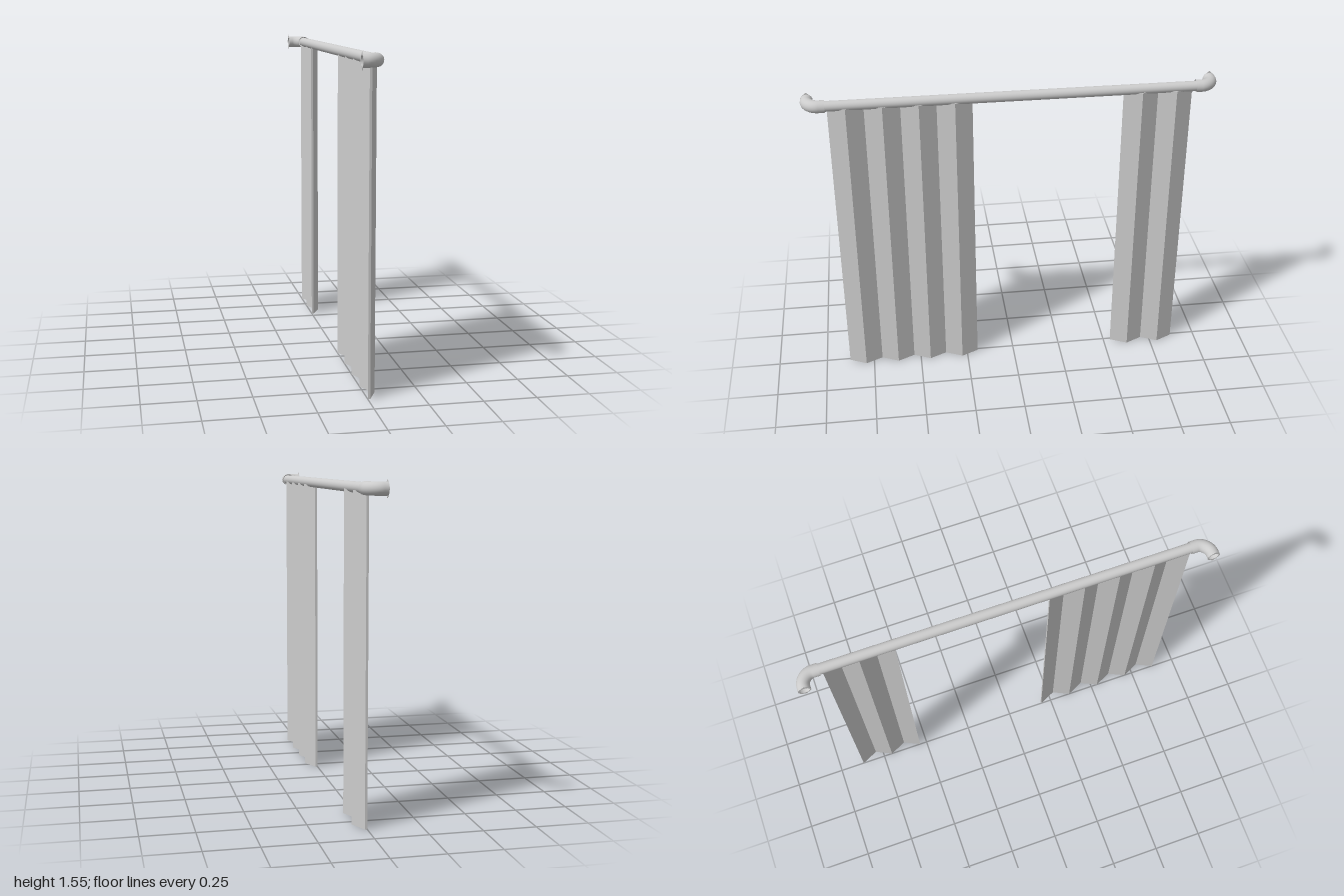
import * as THREE from 'three';

const material = new THREE.MeshStandardMaterial({ color: 0xcccccc, side: THREE.DoubleSide });
const ROD_X = 0.021, ROD_Y = 1.51, WALL_X = -0.055;

function addMesh(parent, name, geometry) {
  const mesh = new THREE.Mesh(geometry, material);
  mesh.name = name;
  parent.add(mesh);
  return mesh;
}

// Zigzag pleated sheet, starting at zStart and running towards -z
function pleatedCurtain(zStart, zEnd, folds) {
  const front = [], back = [];
  for (let i = 0; i <= folds; i++) {
    const z = THREE.MathUtils.lerp(zStart, zEnd, i / folds);
    const x = i % 2 ? 0.04 : 0;
    front.push(new THREE.Vector2(x + 0.011, -z));
    back.unshift(new THREE.Vector2(x, -z));
  }
  const shape = new THREE.Shape([...front, ...back]);
  const geometry = new THREE.ExtrudeGeometry(shape, { depth: 1.5, bevelEnabled: false });
  return geometry.rotateX(-Math.PI / 2);
}

// Open pipe bend from the rod to the wall; side is +1 or -1 along z
function elbow(side) {
  const point = (x, z) => new THREE.Vector3(x, ROD_Y, z * side);
  const bend = 0.055, endZ = 0.97, k = bend * 0.4477;
  const path = new THREE.CurvePath();
  path.add(new THREE.LineCurve3(point(ROD_X, 0.885), point(ROD_X, endZ - bend)));
  path.add(new THREE.CubicBezierCurve3(
    point(ROD_X, endZ - bend), point(ROD_X, endZ - k),
    point(ROD_X - bend + k, endZ), point(ROD_X - bend, endZ)));
  path.add(new THREE.LineCurve3(point(ROD_X - bend, endZ), point(WALL_X, endZ)));
  return new THREE.TubeGeometry(path, 28, 0.03, 24);
}

// Thin wall ring with a pointed tab above and below
function wallPlate() {
  const shape = new THREE.Shape();
  shape.moveTo(0, 0.04);
  shape.lineTo(-0.022, 0.021);
  shape.absarc(0, 0, 0.03, Math.PI * 0.76, Math.PI * 1.24, false);
  shape.lineTo(0, -0.04);
  shape.lineTo(0.022, -0.021);
  shape.absarc(0, 0, 0.03, -Math.PI * 0.24, Math.PI * 0.24, false);
  shape.closePath();
  const hole = new THREE.Path();
  hole.absarc(0, 0, 0.024, 0, Math.PI * 2, true);
  shape.holes.push(hole);
  const geometry = new THREE.ExtrudeGeometry(shape, { depth: 0.002, bevelEnabled: false, curveSegments: 12 });
  return geometry.rotateY(Math.PI / 2);
}

export function createModel() {
  const group = new THREE.Group();
  group.name = 'curtainRail';

  // Straight rail
  const rod = addMesh(group, 'rod', new THREE.CylinderGeometry(0.025, 0.025, 1.8, 32).rotateX(Math.PI / 2));
  rod.position.set(ROD_X, ROD_Y, 0);

  // Wall brackets at both ends
  for (const side of [1, -1]) {
    const bracket = new THREE.Group();
    bracket.name = side > 0 ? 'frontBracket' : 'backBracket';
    addMesh(bracket, 'elbow', elbow(side));
    addMesh(bracket, 'wallPlate', wallPlate()).position.set(WALL_X, ROD_Y, side * 0.97);
    group.add(bracket);
  }

  // Wide and narrow curtains
  addMesh(group, 'wideCurtain', pleatedCurtain(0.877, 0.193, 8));
  addMesh(group, 'narrowCurtain', pleatedCurtain(-0.538, -0.872, 4));

  return group;
}
